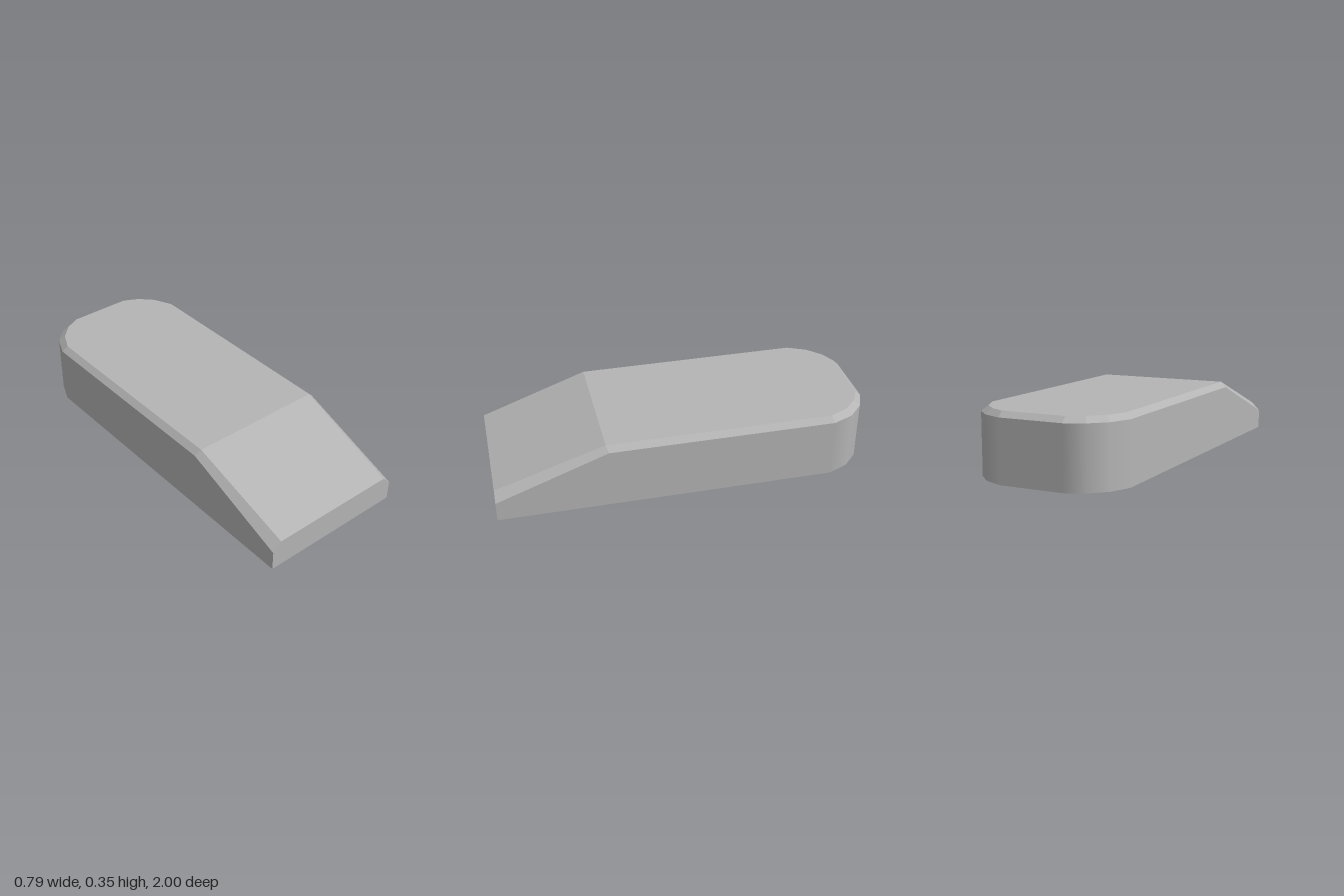
import * as THREE from 'three';

// Right half of the plan, front to back: outer x, z; side height; inner x, z; top height; wall normal angle
const half = [
  [0.397, 1.00, 0.105, 0.35, 1.00, 0.152, 0],
  [0.397, 0.42, 0.32, 0.365, 0.43, 0.348, 0],
  [0.397, -0.77, 0.32, 0.367, -0.76, 0.348, 0],
  [0.35, -0.88, 0.32, 0.32, -0.86, 0.348, 30],
  [0.27, -0.957, 0.32, 0.25, -0.93, 0.348, 60],
  [0.17, -1.00, 0.32, 0.17, -0.97, 0.348, 90],
];

// Convex polygon as a fan, flat shaded unless corner normals are given
function addPolygon(soup, points, normals) {
  const flat = new THREE.Triangle(points[0], points[1], points[2]).getNormal(new THREE.Vector3());
  for (let i = 1; i < points.length - 1; i++) {
    for (const k of [0, i, i + 1]) {
      soup.position.push(...points[k].toArray());
      soup.normal.push(...(normals ? normals[k] : flat).toArray());
    }
  }
}

function addMesh(group, name, material, build) {
  const soup = { position: [], normal: [] };
  build(soup);
  const geometry = new THREE.BufferGeometry();
  for (const key of ['position', 'normal']) {
    geometry.setAttribute(key, new THREE.Float32BufferAttribute(soup[key], 3));
  }
  const mesh = new THREE.Mesh(geometry, material);
  mesh.name = name;
  group.add(mesh);
}

export function createModel() {
  const group = new THREE.Group();
  group.name = 'wedgeBlock';
  const grey = new THREE.MeshStandardMaterial({ color: 0xb4b4b4 });
  grey.name = 'grey';

  // Mirror the half plan into full loops
  const mirrored = half.slice().reverse().map(([ox, oz, oy, ix, iz, iy, a]) => [-ox, oz, oy, -ix, iz, iy, 180 - a]);
  const plan = [...half, ...mirrored];
  const base = plan.map((p) => new THREE.Vector3(p[0], 0, p[1]));
  const shoulder = plan.map((p) => new THREE.Vector3(p[0], p[2], p[1]));
  const rim = plan.map((p) => new THREE.Vector3(p[3], p[5], p[4]));
  const out = plan.map((p) => {
    const a = THREE.MathUtils.degToRad(p[6]);
    return new THREE.Vector3(Math.cos(a), 0, -Math.sin(a));
  });
  const last = plan.length - 1;

  // Sides with a smoothly rounded back
  addMesh(group, 'sideWall', grey, (soup) => {
    for (let i = 0; i < last; i++) {
      addPolygon(soup, [base[i], base[i + 1], shoulder[i + 1], shoulder[i]], [out[i], out[i + 1], out[i + 1], out[i]]);
    }
  });

  // Chamfer between the sides and the top
  addMesh(group, 'chamfer', grey, (soup) => {
    for (let i = 0; i < last; i++) {
      addPolygon(soup, [shoulder[i], shoulder[i + 1], rim[i + 1], rim[i]]);
    }
  });

  // Level top, front ramp, front end and underside
  addMesh(group, 'top', grey, (soup) => addPolygon(soup, rim.slice(1, last)));
  addMesh(group, 'ramp', grey, (soup) => addPolygon(soup, [rim[0], rim[1], rim[last - 1], rim[last]]));
  addMesh(group, 'frontEnd', grey, (soup) =>
    addPolygon(soup, [base[last], base[0], shoulder[0], rim[0], rim[last], shoulder[last]]));
  addMesh(group, 'underside', grey, (soup) => addPolygon(soup, base.slice().reverse()));

  return group;
}
